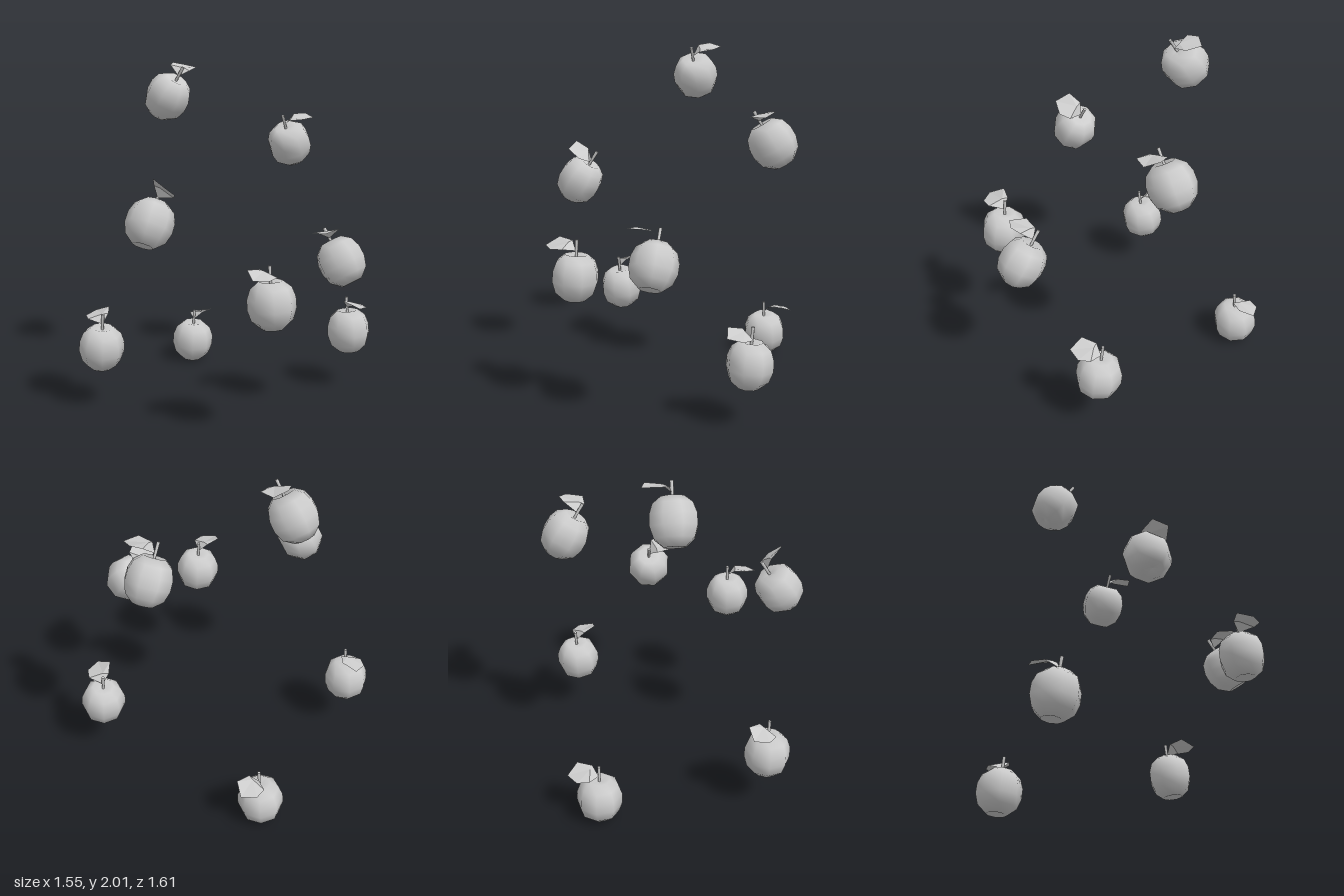
import * as THREE from 'three';

const grey = new THREE.MeshStandardMaterial({ color: 0xcccccc });
const leafGrey = new THREE.MeshStandardMaterial({
  color: 0xcccccc, flatShading: true, side: THREE.DoubleSide,
});

// Eight-sided body with a dimple at both ends
function bodyGeometry() {
  const profile = [
    [0, -0.115], [0.06, -0.133], [0.113, -0.087], [0.133, -0.025],
    [0.132, 0.035], [0.112, 0.09], [0.065, 0.128], [0, 0.112],
  ].map(([r, y]) => new THREE.Vector2(r, y));
  return new THREE.LatheGeometry(profile, 8).rotateY(-0.17);
}

// Folded leaf: a fan round a raised point, growing along +x with its +z side lifted
function leafGeometry() {
  const points = [
    0.047, 0.045, 0.008, // raised middle
    0, 0, 0, // root
    0.035, 0.05, 0.042,
    0.12, 0.06, 0.066,
    0.178, 0.017, 0, // tip
    0.125, 0.01, -0.072,
    0.055, 0.015, -0.076,
  ];
  const faces = [];
  for (let i = 0; i < 6; i++) faces.push(0, i + 1, ((i + 1) % 6) + 1);
  const geometry = new THREE.BufferGeometry();
  geometry.setAttribute('position', new THREE.Float32BufferAttribute(points, 3));
  geometry.setIndex(faces);
  geometry.computeVertexNormals();
  return geometry;
}

// Each fruit: centre, stem direction, leaf direction
const fruits = [
  [[-0.07, 1.815, -0.45], [0.02, 0.17, 0.11], [0.157, 0.06, -0.09]],
  [[0.58, 1.51, -0.04], [-0.1, 0.17, 0.03], [0.1, 0.04, 0.16]],
  [[-0.64, 1.2, 0], [0.11, 0.18, -0.025], [-0.08, 0.06, 0.125]],
  [[-0.33, 0.8, 0.605], [0.003, 0.21, -0.02], [-0.98, 0, 0.2]],
  [[0.187, 0.95, 0.672], [-0.015, 0.17, -0.11], [-0.157, 0.06, 0.09]],
  [[-0.615, 0.375, -0.47], [-0.005, 0.21, 0.025], [0.46, 0, -0.885]],
  [[0.635, 0.375, 0.41], [0.005, 0.21, -0.025], [-0.46, 0, 0.885]],
  [[0.337, 0.135, -0.667], [0, 0.21, 0.018], [0.985, 0, -0.18]],
];

export function createModel() {
  const model = new THREE.Group();
  model.name = 'floatingFruits';

  const body = bodyGeometry();
  const stem = new THREE.CylinderGeometry(0.01, 0.008, 0.1, 6).translate(0, 0.16, 0);
  const leaf = leafGeometry().translate(0.003, 0.146, 0);
  const parts = [['body', body, grey], ['stem', stem, grey], ['leaf', leaf, leafGrey]];

  fruits.forEach(([centre, stemDir, leafDir], i) => {
    const fruit = new THREE.Group();
    fruit.name = `fruit${i + 1}`;
    for (const [name, geometry, material] of parts) {
      const mesh = new THREE.Mesh(geometry, material);
      mesh.name = name;
      fruit.add(mesh);
    }
    // Local y follows the stem, local x follows the leaf
    const up = new THREE.Vector3(...stemDir).normalize();
    const side = new THREE.Vector3(...leafDir).cross(up).normalize();
    const forward = new THREE.Vector3().crossVectors(up, side);
    fruit.quaternion.setFromRotationMatrix(new THREE.Matrix4().makeBasis(forward, up, side));
    fruit.position.set(...centre);
    model.add(fruit);
  });

  return model;
}
